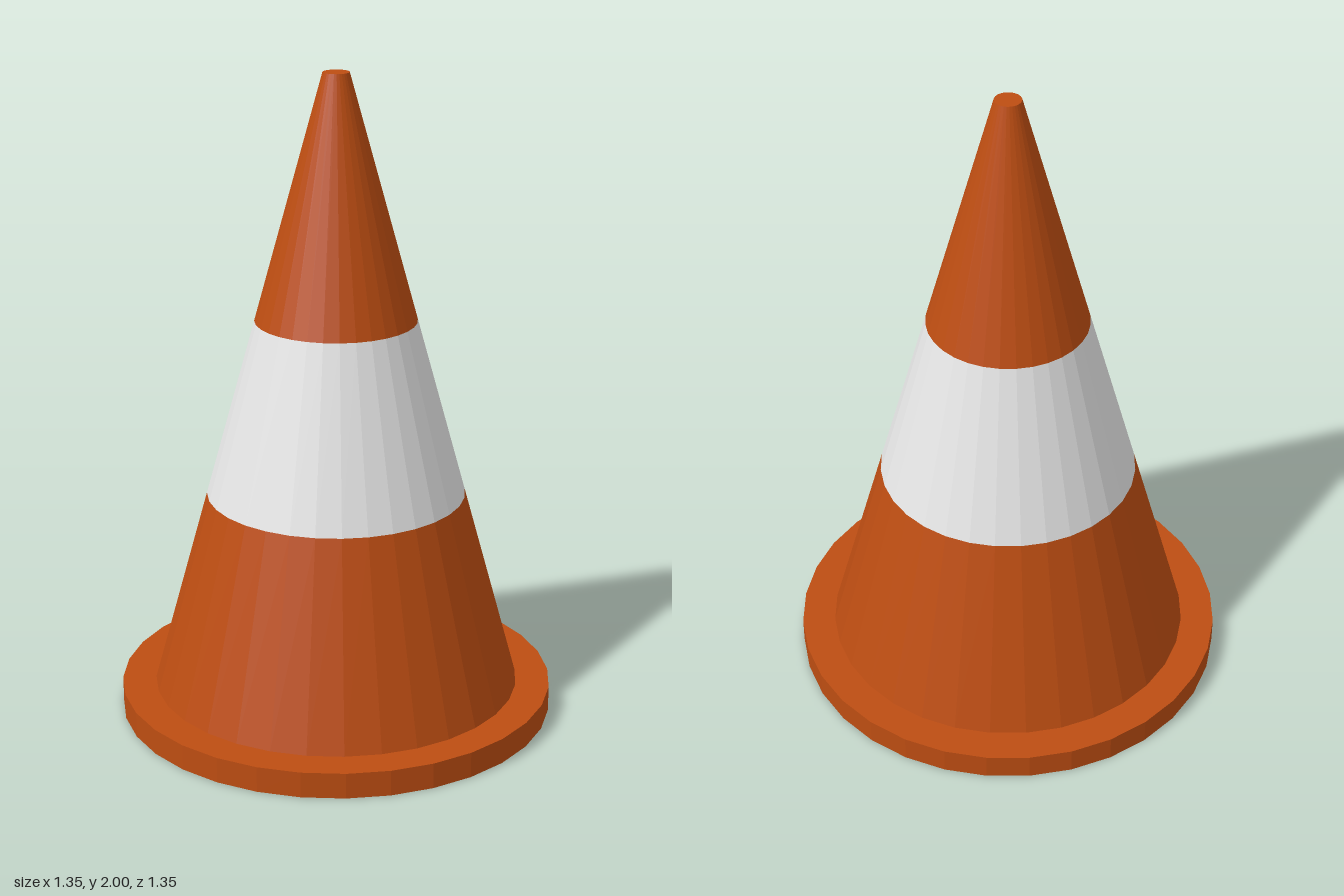
import * as THREE from 'three';

const SIDES = 32;

export function createModel() {
  const orange = new THREE.MeshStandardMaterial({ color: 0xbd4d12, flatShading: true });
  orange.name = 'orange';
  const white = new THREE.MeshStandardMaterial({ color: 0xf2f2f2, flatShading: true });
  white.name = 'white';

  const model = new THREE.Group();
  model.name = 'trafficCone';

  // Radius of the tapering body at height y
  const bodyRadius = (y) => THREE.MathUtils.mapLinear(y, 0.08, 2, 0.57, 0.04);

  function addSection(name, y0, y1, r0, r1, material, open) {
    const geometry = new THREE.CylinderGeometry(r1, r0, y1 - y0, SIDES, 1, open);
    const mesh = new THREE.Mesh(geometry, material);
    mesh.name = name;
    mesh.position.y = (y0 + y1) / 2;
    model.add(mesh);
  }

  // Round foot plate
  addSection('base', 0, 0.08, 0.675, 0.675, orange, false);

  // Body in three stacked bands; only the tip is capped
  const bands = [
    ['lowerBody', 0.08, 0.7, orange, true],
    ['reflectiveBand', 0.7, 1.25, white, true],
    ['upperBody', 1.25, 2, orange, false],
  ];
  for (const [name, y0, y1, material, open] of bands) {
    addSection(name, y0, y1, bodyRadius(y0), bodyRadius(y1), material, open);
  }

  return model;
}
